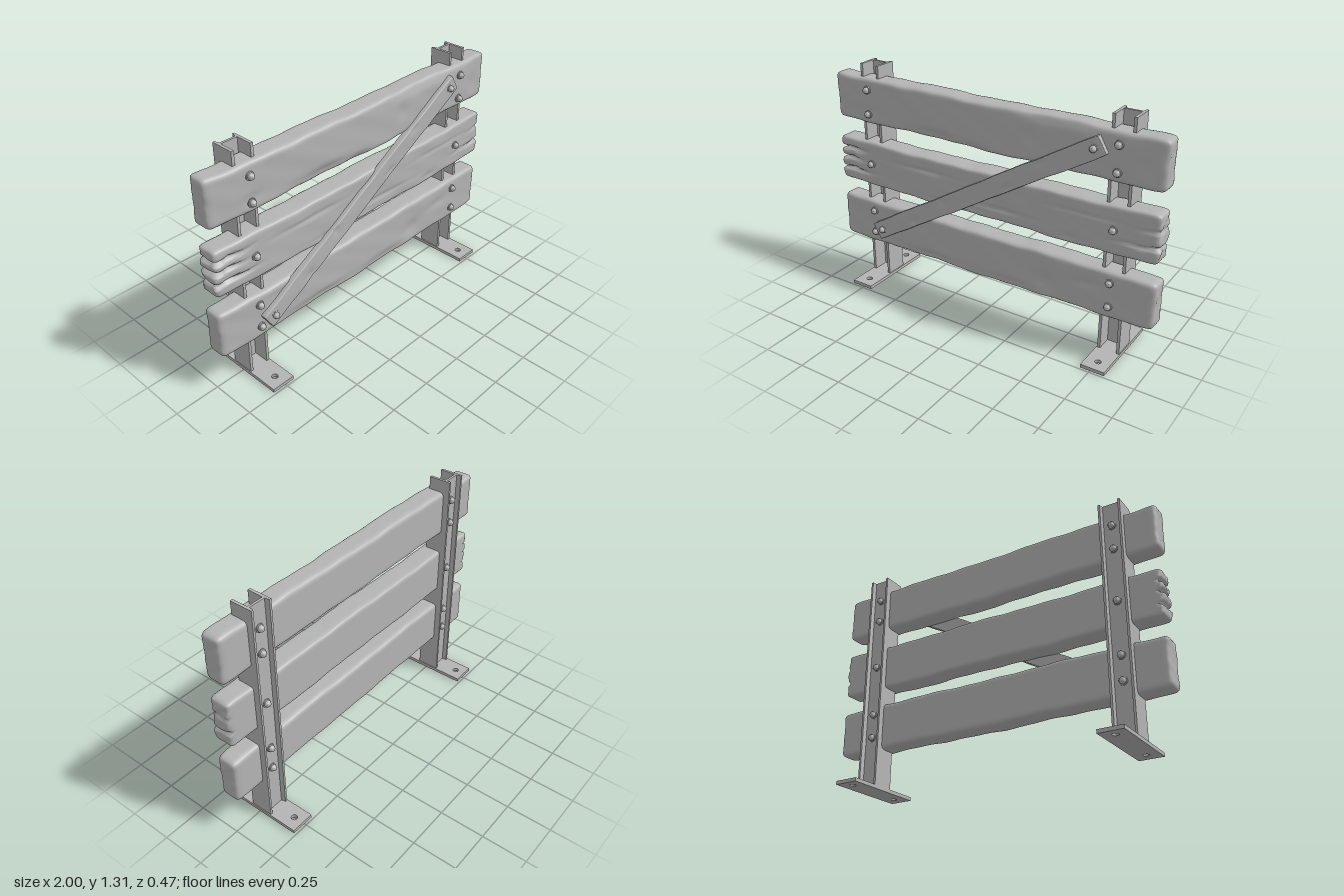
import * as THREE from 'three';
import { mergeVertices, toCreasedNormals } from 'three/addons/utils/BufferGeometryUtils.js';

const grey = new THREE.MeshStandardMaterial({ color: 0xb4b4b4 });
grey.name = 'plain grey';

const POST_X = 0.762;
const BOLT_Y = [1.175, 1.035, 0.735, 0.44, 0.305];

function add(parent, name, geometry, x = 0, y = 0, z = 0) {
  const mesh = new THREE.Mesh(geometry, grey);
  mesh.name = name;
  mesh.position.set(x, y, z);
  parent.add(mesh);
  return mesh;
}

const bell = (d, width) => Math.exp(-((d / width) ** 2));

// Smooth repeatable unevenness, roughly -1 to 1
function wave(t, seed) {
  return (Math.sin(t * 5.1 + seed) + 0.7 * Math.sin(t * 11.3 + seed * 2.3) + 0.5 * Math.sin(t * 23.7 + seed * 4.1)) / 2.2;
}

// Timber: a finely divided box with rounded edges, worn by a rule.
// dents: [x, y, width, height, depth] on the front face
// cracks: [end sign, y, length, depth] running in from an end
function timber(w, h, d, r, { seed = 1, rough = 0.006, bow = 0, ragged = 0, dents = [], cracks = [] }) {
  const g = new THREE.BoxGeometry(w, h, d, 110, 26, 10);
  const p = g.attributes.position;
  const half = [w / 2 - r, h / 2 - r, d / 2 - r];
  const v = new THREE.Vector3(), core = new THREE.Vector3();
  for (let i = 0; i < p.count; i++) {
    v.fromBufferAttribute(p, i);
    const end = Math.sign(v.x) * THREE.MathUtils.smoothstep(Math.abs(v.x), w / 2 - 0.1, w / 2);
    core.set(...v.toArray().map((c, k) => THREE.MathUtils.clamp(c, -half[k], half[k])));
    v.sub(core);
    if (v.lengthSq() > 0) v.setLength(r);
    v.add(core);
    const { x, y, z } = v;
    const front = THREE.MathUtils.smoothstep(z, 0, d / 2);
    // uneven long edges and bowed front
    const edge = y / (h / 2);
    v.y -= edge * rough * (0.6 + wave(x * 1.4, seed + (y > 0 ? 0 : 3)));
    v.z -= front * (bow * (x / (w / 2)) ** 4 + rough * 0.5 * (1 + wave(x + y * 2, seed + 5)));
    // ragged ends
    v.x -= end * ragged * (1 + wave(y * 4 + z * 3, seed + 1));
    for (const [dx, dy, sx, sy, depth] of dents) v.z -= front * depth * bell(x - dx, sx) * bell(y - dy, sy);
    for (const [side, cy, length, depth] of cracks) {
      const along = THREE.MathUtils.smoothstep(side * x, w / 2 - length, w / 2);
      const cut = along * bell(y - cy - 0.004 * Math.sin(x * 40), 0.009);
      v.z -= front * depth * cut;
      v.x -= side * depth * cut * Math.abs(end);
    }
    p.setXYZ(i, v.x, v.y, v.z);
  }
  g.deleteAttribute('uv');
  g.deleteAttribute('normal');
  const merged = mergeVertices(g, 1e-5);
  merged.computeVertexNormals();
  return merged;
}

// Domed bolt head pointing towards +z
function boltGeometry() {
  const profile = [[0.023, 0], [0.023, 0.007], [0.018, 0.009], [0.017, 0.018], [0.011, 0.026], [0, 0.029]]
    .map(([x, y]) => new THREE.Vector2(x, y));
  return toCreasedNormals(new THREE.LatheGeometry(profile, 16).rotateX(Math.PI / 2), 0.7);
}

// Upright steel section: two side flanges joined by a web near the back
function postGeometry() {
  const o = 0.062, i = 0.046, front = -0.055, back = 0.073, webF = 0.034, webB = 0.047;
  const outline = [
    [-o, front], [-i, front], [-i, webF], [i, webF], [i, front], [o, front],
    [o, back], [i + 0.004, back], [i, webB], [-i, webB], [-i - 0.004, back], [-o, back],
  ].map(([x, y]) => new THREE.Vector2(x, y));
  const g = new THREE.ExtrudeGeometry(new THREE.Shape(outline), { depth: 1.292, bevelEnabled: false });
  return g.rotateX(-Math.PI / 2);
}

// Foot plate with two fixing holes
function footGeometry() {
  const s = new THREE.Shape();
  s.moveTo(-0.067, -0.237).lineTo(0.067, -0.237).lineTo(0.067, 0.237).lineTo(-0.067, 0.237).closePath();
  for (const y of [-0.17, 0.18]) {
    s.holes.push(new THREE.Path().absarc(0, y, 0.017, 0, Math.PI * 2, true));
  }
  return new THREE.ExtrudeGeometry(s, { depth: 0.02, bevelEnabled: false, curveSegments: 10 }).rotateX(-Math.PI / 2);
}

export function createModel() {
  const model = new THREE.Group();
  model.name = 'plankBarrier';
  const bolt = boltGeometry(), post = postGeometry(), foot = footGeometry();

  // Posts, feet and plank bolts
  for (const side of [1, -1]) {
    const upright = new THREE.Group();
    upright.name = side > 0 ? 'leftPost' : 'rightPost';
    upright.position.x = side * POST_X;
    model.add(upright);
    add(upright, 'steelSection', post, 0, 0.018, 0);
    add(upright, 'footPlate', foot);
    for (const y of BOLT_Y) {
      add(upright, 'frontBolt', bolt, -side * 0.004, y, 0.086);
      add(upright, 'backBolt', bolt, 0, y, -0.045).rotation.y = Math.PI;
    }
  }

  // Three worn planks
  add(model, 'topPlank', timber(2, 0.266, 0.132, 0.026, {
    seed: 1.3, bow: 0.018, ragged: 0.003,
    dents: [[-0.3, -0.11, 0.16, 0.03, 0.016], [-0.75, -0.06, 0.06, 0.03, 0.007], [0.28, 0.01, 0.04, 0.06, 0.007],
      [0.45, 0.12, 0.25, 0.03, 0.014], [-0.05, -0.12, 0.08, 0.02, 0.012], [0.9, -0.02, 0.04, 0.06, 0.006]],
  }), 0, 1.11, 0.028);

  add(model, 'middlePlank', timber(2, 0.268, 0.132, 0.02, {
    seed: 4.2, bow: 0.012, ragged: 0.007,
    dents: [[-0.4, 0.05, 0.2, 0.012, 0.008], [0.1, -0.06, 0.22, 0.012, 0.008], [0.52, -0.1, 0.05, 0.02, 0.008],
      [-0.2, -0.1, 0.2, 0.012, 0.006], [0.6, 0.05, 0.2, 0.01, 0.006]],
    cracks: [[-1, 0.07, 0.3, 0.03], [-1, 0.01, 0.25, 0.035], [-1, -0.06, 0.35, 0.03],
      [1, -0.05, 0.35, 0.018], [1, 0.04, 0.2, 0.01]],
  }), 0, 0.732, 0.028);

  add(model, 'bottomPlank', timber(2, 0.272, 0.132, 0.026, {
    seed: 7.7, bow: 0.015, ragged: 0.003,
    dents: [[-0.35, -0.11, 0.2, 0.025, 0.014], [0.4, -0.03, 0.06, 0.05, 0.01], [0.62, 0.03, 0.08, 0.03, 0.008],
      [0.15, -0.11, 0.15, 0.025, 0.012], [-0.55, 0.08, 0.1, 0.02, 0.006]],
  }), 0, 0.368, 0.028);

  // Diagonal brace with a bolt at each end
  const start = new THREE.Vector2(-0.727, 0.322), finish = new THREE.Vector2(0.685, 1.166);
  const length = start.distanceTo(finish);
  const brace = new THREE.Group();
  brace.name = 'diagonalBrace';
  brace.position.set((start.x + finish.x) / 2, (start.y + finish.y) / 2, 0.097);
  brace.rotation.z = finish.clone().sub(start).angle();
  model.add(brace);
  add(brace, 'braceBoard', timber(length, 0.106, 0.038, 0.006, {
    seed: 2.9, rough: 0.003,
    dents: [[-0.5, -0.03, 0.03, 0.03, 0.008], [-0.25, 0.03, 0.02, 0.03, 0.007], [0.2, -0.03, 0.04, 0.02, 0.007],
      [0.45, 0.03, 0.03, 0.02, 0.006]],
  }));
  for (const side of [1, -1]) add(brace, 'braceBolt', bolt, side * (length / 2 - 0.05), 0, 0.012);

  return model;
}
